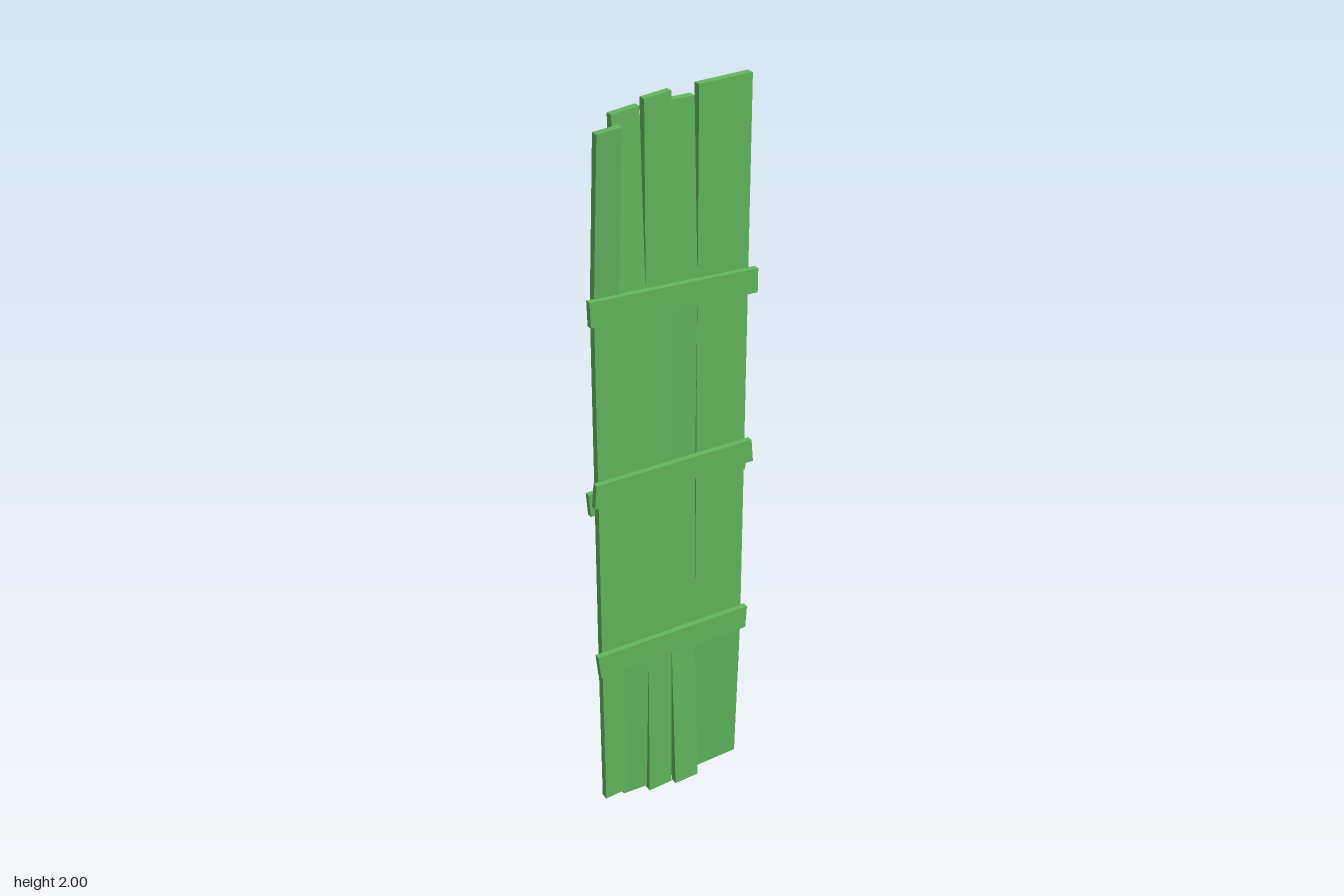
import * as THREE from 'three';

const wood = new THREE.MeshStandardMaterial({ color: 0x62b85f, flatShading: true });
const BACK = -0.017, FRONT = 0.003;

// Plank: straight between the battens, its ends splaying forwards (+) or backwards (-)
// heights = [bottom left, bottom right, top left, top right]
function plank(x0, x1, heights, splayBottom, splayTop, bow = 0) {
  const levels = [0, 0.46, 1, 1.5, 2];
  const shift = [splayBottom, 0, bow, 0, splayTop];
  const geo = new THREE.BoxGeometry(1, 4, 1, 1, 4, 1);
  const p = geo.attributes.position;
  for (let i = 0; i < p.count; i++) {
    const right = p.getX(i) > 0 ? 1 : 0;
    const k = Math.round(p.getY(i) + 2);
    const y = k === 0 ? heights[right] : k === 4 ? heights[2 + right] : levels[k];
    p.setXYZ(i, right ? x1 : x0, y, (p.getZ(i) > 0 ? FRONT : BACK) + shift[k]);
  }
  geo.computeVertexNormals();
  return new THREE.Mesh(geo, wood);
}

// Batten: flat bar nailed across the planks, outlined by its four corners
function batten(corners, z0, z1) {
  const shape = new THREE.Shape(corners.map(([x, y]) => new THREE.Vector2(x, y)));
  const geo = new THREE.ExtrudeGeometry(shape, { depth: z1 - z0, bevelEnabled: false });
  geo.translate(0, 0, z0);
  return new THREE.Mesh(geo, wood);
}

export function createModel() {
  const model = new THREE.Group();
  model.name = 'plankDoor';

  // Upright planks, from the right side (-x) to the left (+x)
  const planks = [
    [-0.214, -0.148, [0.035, 0.04, 1.94, 1.945], 0.004, 0.031],
    [-0.148, -0.075, [0.01, 0.008, 1.957, 1.965], -0.015, -0.021],
    [-0.075, -0.004, [0.0, 0.004, 1.987, 1.994], 0, 0],
    [-0.004, 0.068, [0.01, 0.014, 1.965, 1.965], 0.021, -0.019, -0.005],
    [0.068, 0.212, [0.008, 0.014, 1.996, 2.0], -0.016, 0],
  ];
  planks.forEach((args, i) => {
    const mesh = plank(...args);
    mesh.name = `plank${i + 1}`;
    model.add(mesh);
  });

  // Cross battens: three on the front, one on the back
  const battens = {
    upperBatten: [[[-0.231, 1.467], [0.231, 1.449], [0.231, 1.513], [-0.233, 1.533]], 0.002, 0.018],
    middleBatten: [[[-0.232, 0.974], [0.23, 0.974], [0.224, 1.038], [-0.226, 1.038]], 0.002, 0.018],
    lowerBatten: [[[-0.226, 0.456], [0.219, 0.456], [0.223, 0.523], [-0.233, 0.523]], 0.002, 0.018],
    backBatten: [[[-0.226, 0.932], [0.229, 0.932], [0.232, 0.996], [-0.231, 0.996]], -0.031, -0.016],
  };
  for (const [name, args] of Object.entries(battens)) {
    const mesh = batten(...args);
    mesh.name = name;
    model.add(mesh);
  }
  return model;
}
